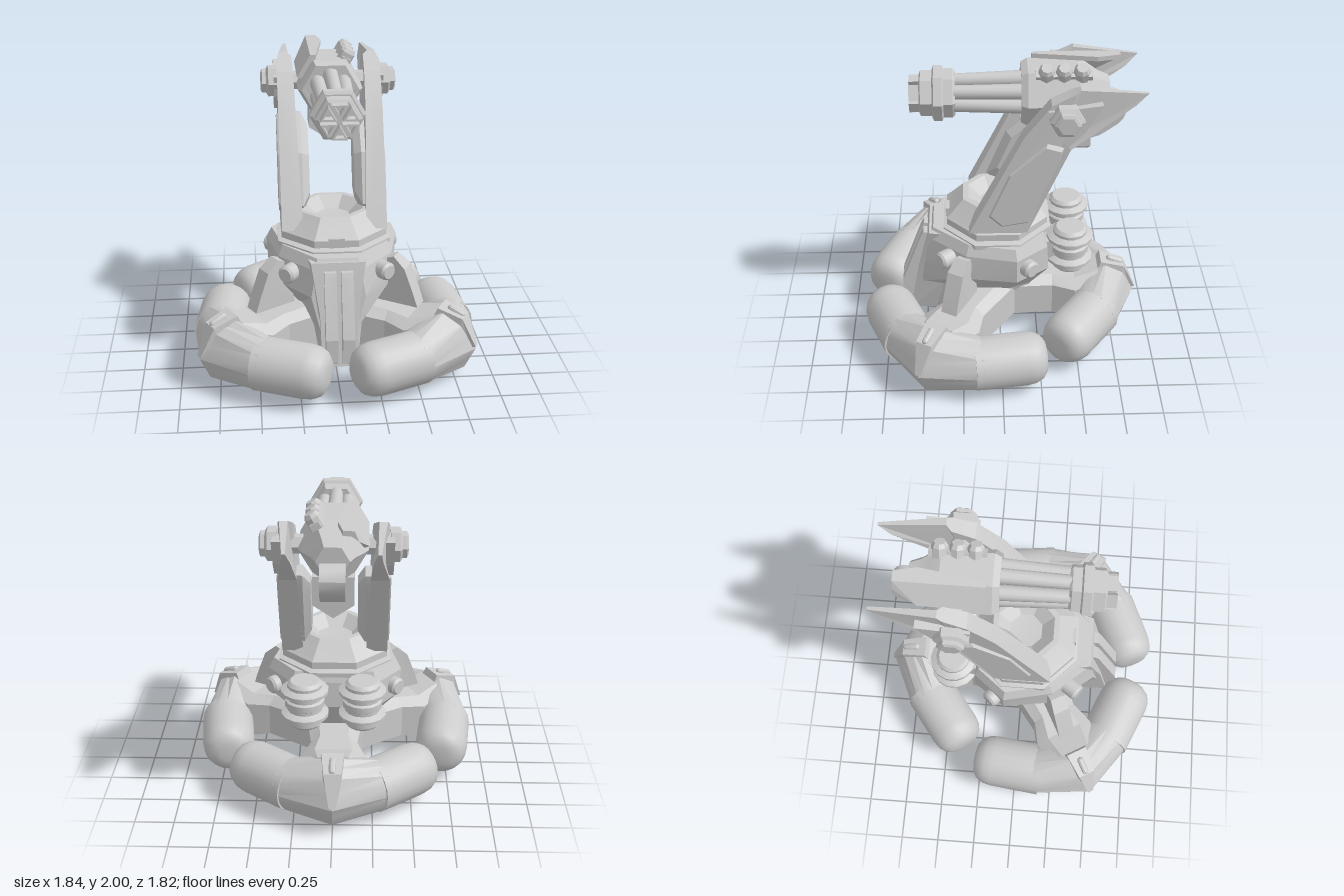
import * as THREE from 'three';
import { toCreasedNormals } from 'three/addons/utils/BufferGeometryUtils.js';

const mat = new THREE.MeshStandardMaterial({ color: 0xcccccc });

function add(parent, name, geo, crease = 0.55) {
  const m = new THREE.Mesh(toCreasedNormals(geo, crease), mat);
  m.name = name;
  parent.add(m);
  return m;
}

// Skin a closed solid through rings of [x, y, z]; faces are turned outwards by signed volume
function loft(rings) {
  const tris = [], n = rings[0].length;
  for (let k = 0; k + 1 < rings.length; k++) {
    for (let i = 0; i < n; i++) {
      const j = (i + 1) % n, a = rings[k], b = rings[k + 1];
      tris.push([a[i], a[j], b[j]], [a[i], b[j], b[i]]);
    }
  }
  const cap = (r, flip) => {
    const c = [0, 1, 2].map(d => r.reduce((s, p) => s + p[d], 0) / n);
    r.forEach((p, i) => tris.push(flip ? [c, r[(i + 1) % n], p] : [c, p, r[(i + 1) % n]]));
  };
  cap(rings[0], true);
  cap(rings[rings.length - 1], false);
  const V = p => new THREE.Vector3(...p);
  const vol = tris.reduce((s, [a, b, c]) => s + V(a).dot(V(b).cross(V(c))), 0);
  const pos = tris.flatMap(([a, b, c]) => (vol < 0 ? [a, c, b] : [a, b, c])).flat();
  const g = new THREE.BufferGeometry();
  g.setAttribute('position', new THREE.Float32BufferAttribute(pos, 3));
  g.computeVertexNormals();
  return g;
}

// Slab with a (z, y) outline between two x positions
const slab = (pts, x0, x1) => loft([x0, x1].map(x => pts.map(([z, y]) => [x, y, z])));
const shrink = (pts, k) => {
  const c = [0, 1].map(d => pts.reduce((s, p) => s + p[d], 0) / pts.length);
  return pts.map(p => p.map((v, d) => c[d] + (v - c[d]) * k));
};
// Horizontal ring mirrored in x from a right-hand outline of [x, z]
const plan = (half, y) => [...half.map(([x, z]) => [x, y, z]),
  ...half.slice().reverse().map(([x, z]) => [-x, y, z])];
const lathe = (pts, n) => new THREE.LatheGeometry(pts.map(p => new THREE.Vector2(...p)), n);
// Turn a geometry's y axis to a direction and move it
function aim(g, dir, at) {
  const q = new THREE.Quaternion().setFromUnitVectors(
    new THREE.Vector3(0, 1, 0), new THREE.Vector3(...dir).normalize());
  return g.applyQuaternion(q).translate(...at);
}

// Bent foot: rounded tubes either side of an angular knuckle (+z is outwards)
function buildFoot(withFin) {
  const foot = new THREE.Group();
  const apex = [[1.02, .22], [.95, .4], [.83, .475], [.7, .41], [.64, .22], [.69, .07], [.81, 0], [.95, .07]];
  const mid = apex.flatMap((p, i) => {
    const q = apex[(i + 1) % 8];
    return [p, [(p[0] + q[0]) / 2, (p[1] + q[1]) / 2]];
  }).map(([z, y]) => [0, y, z]);
  const seam = s => mid.map((_, i) => {
    const a = i / 16 * Math.PI * 2, c = .172 * Math.cos(a);
    return [s * (.28 + .6 * c), .22 + .172 * Math.sin(a), .709 + .8 * c];
  });
  add(foot, 'footKnuckle', loft([seam(-1), mid, seam(1)]), 0.45);
  for (const s of [-1, 1]) {
    const tube = lathe([[0, -.05], [.172, -.05], [.172, .28], [.163, .335], [.14, .38], [.1, .408], [.06, .415], [0, .418]], 20);
    add(foot, 'footTube', aim(tube, [s * .8, 0, -.6], [s * .28, .22, .709]), 0.9);
  }
  // Strut from the body to the knuckle
  const section = (z, w, y0, y1) => [[-w, y0, z], [w, y0, z], [w, y1 - .05, z], [w * .6, y1, z], [-w * .6, y1, z], [-w, y1 - .05, z]];
  add(foot, 'footStrut', loft([section(.1, .2, .16, .44), section(.45, .15, .14, .41),
    section(.6, .2, .1, .4), section(.76, .16, .1, .44)]), 0.2);
  // Armour plate and grip bar on the knuckle
  add(foot, 'knucklePlate', loft([
    [[-.08, .4, .74], [.08, .4, .74], [.07, .485, .78], [-.07, .485, .78]],
    [[-.06, .36, .92], [.06, .36, .92], [.055, .435, .94], [-.055, .435, .94]],
    [[-.02, .23, .99], [.02, .23, .99], [.02, .24, 1.025], [-.02, .24, 1.025]]]), 0.2);
  const bar = new THREE.CapsuleGeometry(.022, .08, 4, 10);
  add(foot, 'knuckleBar', aim(bar, [0, -.4, 1], [0, .455, .88]));
  if (withFin) {
    const fin = [[.34, .45], [.635, .45], [.6, .55], [.54, .7], [.46, .77], [.38, .74]];
    add(foot, 'shoulderFin', loft([-.05, .05].map(x =>
      fin.map(([z, y]) => [x * (z > .5 ? 1.1 : .85), y, z]))), 0.2);
  }
  return foot;
}

function buildBody(root) {
  const upper = [[.14, .47], [.36, .22], [.43, -.1], [.27, -.3]];
  const body = [
    plan([[.1, .48], [.13, .12], [.13, -.05], [.09, -.14]], .15),
    plan([[.12, .52], [.22, .15], [.22, -.06], [.16, -.2]], .4),
    plan([[.17, .49], [.37, .23], [.42, -.1], [.27, -.31]], .6),
    plan(upper, .77),
    plan(upper.map(([x, z]) => [x * .92, z * .92]), .84)];
  add(root, 'body', loft(body), 0.2);
  // Sloping front keel with two ribs
  add(root, 'keel', loft([plan([[.11, .6], [.12, .3]], .17), plan([[.12, .54], [.18, .3]], .5),
    plan([[.17, .46], [.2, .3]], .82)]), 0.2);
  for (const s of [-1, 1]) {
    const rib = [[.4, .77], [.5, .77], [.52, .73], [.65, .38], [.65, .22], [.6, .19], [.5, .19]];
    add(root, 'keelRib', slab(rib, s * .015, s * .09), 0.2);
    // Round body studs
    for (const [x, y, z, dx, dz] of [[.29, .71, .34, .6, .8], [.37, .69, -.16, .75, -.66]]) {
      const stud = lathe([[0, -.08], [.058, -.08], [.058, .05], [.045, .065], [0, .065]], 14);
      add(root, 'bodyStud', aim(stud, [s * dx, 0, dz], [s * x, y, z]));
    }
    // Rear pods with ribbed sides
    const pod = [[0, .56], [.09, .56], [.11, .58], [.11, .61], [.15, .63], [.15, .65], [.11, .67], [.11, .69],
      [.125, .7], [.125, .74], [.11, .75], [.11, .77], [.15, .79], [.15, .81], [.11, .83], [.11, .85], [.09, .87], [0, .87]];
    add(root, 'rearPod', lathe(pod, 14).translate(s * .18, 0, -.45), 0.45);
    add(root, 'podBracket', new THREE.BoxGeometry(.1, .14, .2).translate(s * .18, .71, -.33));
  }
  // Turntable with a dished top
  const table = lathe([[0, .8], [.4, .82], [.4, .85], [.35, .86], [.375, .87], [.375, .915], [.35, .935],
    [.25, 1.03], [.21, 1.03], [.12, .96], [0, .95]], 8);
  add(root, 'turntable', table.rotateY(Math.PI / 8).scale(.97, 1, .93).translate(0, 0, .02), 0.2);
  add(root, 'turntableCatch', new THREE.BoxGeometry(.1, .06, .04).translate(0, .9, .33));
}

function buildArm(root, s) {
  // Outline as [z, y, inner x, outer x]: thick at the foot, thin at the rear tip
  const outline = [[.2, .93, .2, .335], [-.14, 1.62, .225, .335], [-.3, 1.83, .23, .335], [-.44, 1.9, .235, .325],
    [-.47, 1.92, .265, .315], [-.875, 1.875, .255, .275], [-.8, 1.8, .235, .285], [-.42, 1.53, .22, .335], [-.165, .93, .2, .335]];
  add(root, 'arm', loft([2, 3].map(k => outline.map(p => [s * p[k], p[1], p[0]]))), 0.2);
  // Raised panels on both faces
  const panel = [[.08, 1.05], [0, .97], [-.17, 1.0], [-.36, 1.46], [-.38, 1.54], [-.28, 1.57], [-.05, 1.36]];
  for (const [a, b, k] of [[.31, .345, .93], [.235, .145, .72]]) {
    add(root, 'armPanel', loft([panel, panel, shrink(panel, k)].map((r, i) =>
      r.map(([z, y]) => [s * [a, (a + b) / 2, b][i], y, z]))), 0.2);
  }
  // Pivot hub
  add(root, 'pivotPlate', slab([[-.28, 1.8], [-.6, 1.84], [-.5, 1.66], [-.4, 1.56], [-.32, 1.66]], s * .3, s * .355), 0.2);
  const hub = lathe([[0, -.3], [.06, -.3], [.06, 0], [.105, 0], [.105, .055], [.08, .07], [.08, .095], [.06, .105], [0, .105]], 6);
  add(root, 'pivotHub', aim(hub, [s, 0, 0], [s * .335, 1.75, -.39]), 0.2);
}

function buildGun() {
  const gun = new THREE.Group();
  gun.position.y = 1.75;
  // Six-sided stepped solid along z from [radius, z] points
  const turned = (name, pts) =>
    add(gun, name, lathe(pts, 6).rotateY(Math.PI / 6).rotateX(Math.PI / 2), 0.3);
  turned('gunHousing', [[0, -.67], [.1, -.67], [.13, -.6], [.18, -.53], [.208, -.48], [.208, -.17], [.185, -.13], [.16, -.13], [.16, -.15], [0, -.15]]);
  turned('muzzleCollar', [[0, .27], [.135, .27], [.15, .285], [.15, .34], [.17, .35], [.17, .4], [.15, .41], [.14, .41], [.14, .48], [.12, .49], [0, .49]]);
  turned('barrelCore', [[0, -.2], [.05, -.2], [.045, .3], [0, .3]]);
  for (let i = 0; i < 6; i++) {
    const a = Math.PI / 6 + i * Math.PI / 3, c = Math.cos(a), d = Math.sin(a);
    const barrel = new THREE.CylinderGeometry(.042, .048, .5, 12);
    add(gun, 'barrel', aim(barrel, [-c * .03, -d * .03, 1], [c * .09, d * .09, .09]));
    // Hollow three-sided muzzle segment
    const tri = (k, P) => new P([[.02, 0], [.105, -.048], [.105, .048]].map(([x, y]) =>
      new THREE.Vector2(.077 + (x - .077) * k, y * k)));
    const shape = tri(1, THREE.Shape);
    shape.holes.push(tri(.6, THREE.Path));
    const seg = new THREE.ExtrudeGeometry(shape, { depth: .1, bevelEnabled: false });
    add(gun, 'muzzleSegment', seg.translate(0, 0, .45).rotateZ(a), 0.2);
  }
  // Three knobs on the upper left edge
  for (const z of [-.28, -.385, -.49]) {
    const knob = lathe([[0, -.06], [.05, -.06], [.05, .025], [.035, .05], [0, .05]], 8);
    add(gun, 'topKnob', aim(knob, [.5, .87, 0], [.11, .185, z]), 0.3);
  }
  add(gun, 'knobRail', new THREE.BoxGeometry(.06, .04, .34).rotateZ(-.5).translate(.1, .165, -.385));
  // Folded shield along the upper right edge
  const shield = (z, k) => [[-.21, .07], [-.125, .212], [-.03 - k, .215], [-.03 - k, .185], [-.11, .18], [-.18, .06]].map(([x, y]) => [x, y, z]);
  add(gun, 'topShield', loft([shield(-.2, .06), shield(-.6, 0),
    shield(-.74, .03).map(([x, y, z]) => [Math.max(x, -.15), Math.max(y, .15), z])]), 0.2);
  // Ammunition box under the housing
  const box = z => [[-.125, -.14], [.125, -.14], [.125, -.32], [0, -.405], [-.125, -.32]].map(([x, y]) => [x, y, z]);
  add(gun, 'ammoBox', loft([box(-.37), box(-.56)]), 0.2);
  // Feed belt looping from the box to the back of the housing
  const path = new THREE.CatmullRomCurve3([[-.5, -.25], [-.58, -.25], [-.66, -.2], [-.73, -.14], [-.74, -.08], [-.7, -.05], [-.58, -.04]]
    .map(([z, y]) => new THREE.Vector3(0, y, z)));
  const rings = Array.from({ length: 15 }, (_, i) => {
    const p = path.getPoint(i / 14), t = path.getTangent(i / 14);
    return [[-.075, -.035], [.075, -.035], [.075, .035], [-.075, .035]].map(([x, h]) => [x, p.y + h * t.z, p.z - h * t.y]);
  });
  add(gun, 'feedBelt', loft(rings), 0.5);
  return gun;
}

export function createModel() {
  const root = new THREE.Group();
  root.name = 'turret';
  // Two front feet and one rear foot set slightly closer in
  for (const [name, deg, x, z] of [['leftFoot', 60, -.01, .02], ['rightFoot', -60, .01, .02], ['rearFoot', 180, 0, .1]]) {
    const foot = buildFoot(deg !== 180);
    foot.name = name;
    foot.rotation.y = THREE.MathUtils.degToRad(deg);
    foot.position.set(x, 0, z);
    root.add(foot);
  }
  buildBody(root);
  for (const s of [-1, 1]) buildArm(root, s);
  const gun = buildGun();
  gun.name = 'gun';
  root.add(gun);
  return root;
}
